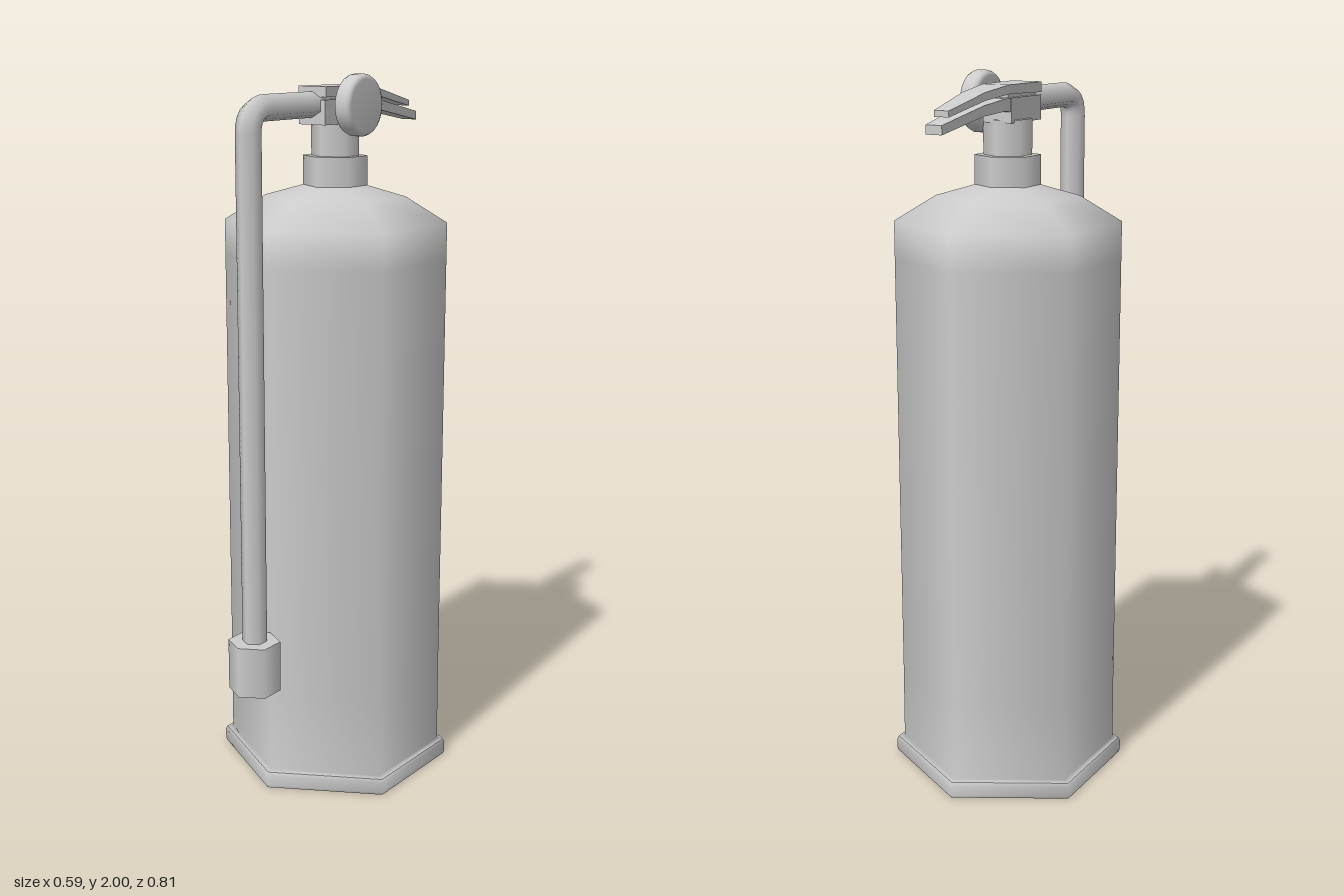
import * as THREE from 'three';

const AXIS_Z = -0.04; // centre line of the bottle
const material = new THREE.MeshStandardMaterial({ color: 0xcccccc, side: THREE.DoubleSide });

function part(name, geometry, parent) {
  const mesh = new THREE.Mesh(geometry, material);
  mesh.name = name;
  parent.add(mesh);
  return mesh;
}

// Six-sided turned shape with corners facing front and back
function turned(profile, z = AXIS_Z) {
  const points = profile.map(([r, y]) => new THREE.Vector2(r, y));
  return new THREE.LatheGeometry(points, 6).scale(1.04, 1, 1).translate(0, 0, z);
}

// Side outline in [z, y], extruded across x with half width tapering from w0 at z0 to w1 at z1
function lever(outline, z0, w0, z1, w1) {
  const shape = new THREE.Shape(outline.map(([z, y]) => new THREE.Vector2(-z, y)));
  const geometry = new THREE.ExtrudeGeometry(shape, { depth: 2, bevelEnabled: false });
  geometry.translate(0, 0, -1).rotateY(Math.PI / 2);
  const p = geometry.attributes.position;
  for (let i = 0; i < p.count; i++) {
    const t = THREE.MathUtils.clamp((p.getZ(i) - z0) / (z1 - z0), 0, 1);
    p.setX(i, Math.sign(p.getX(i)) * THREE.MathUtils.lerp(w0, w1, t));
  }
  geometry.computeVertexNormals();
  return geometry;
}

export function createModel() {
  const model = new THREE.Group();
  model.name = 'fireExtinguisher';

  // Bottle: foot ring, body and shoulder
  part('footUnderside', turned([[0, 0], [0.322, 0]]), model);
  part('footRing', turned([[0.322, 0], [0.325, 0.008], [0.325, 0.038], [0.32, 0.047]]), model);
  part('bottle', turned([
    [0.32, 0.047], [0.303, 0.05], [0.302, 0.28], [0.302, 1.5], [0.302, 1.6],
    [0.19, 1.67], [0.085, 1.7],
  ]), model);

  // Neck collar and valve stem
  part('neckCollar', turned([[0.087, 1.68], [0.087, 1.78]]), model);
  part('neckTop', turned([[0.087, 1.78], [0, 1.78]]), model);
  part('valveStem', turned([[0.064, 1.77], [0.064, 1.875]]), model);
  part('stemTop', turned([[0.064, 1.875], [0, 1.875]]), model);

  // Valve block between the levers
  part('valveBlock', new THREE.BoxGeometry(0.088, 0.066, 0.16).translate(0, 1.9, -0.015), model);
  part('valveBridge', new THREE.BoxGeometry(0.06, 0.03, 0.15).translate(0, 1.935, -0.015), model);

  // Squeeze lever above, carrying handle below
  part('squeezeLever', lever([
    [0.063, 1.94], [0.063, 1.968], [-0.1, 1.967], [-0.21, 1.953], [-0.368, 1.916],
    [-0.368, 1.9], [-0.21, 1.932], [-0.1, 1.943],
  ], -0.03, 0.046, -0.368, 0.022), model);
  part('carryHandle', lever([
    [-0.02, 1.885], [-0.02, 1.932], [-0.12, 1.932], [-0.22, 1.92], [-0.404, 1.883],
    [-0.404, 1.859], [-0.22, 1.893], [-0.12, 1.9],
  ], -0.06, 0.044, -0.404, 0.024), model);

  // Round pressure gauge on the left side
  const gaugeProfile = [[0, 0], [0.07, 0], [0.079, 0.006], [0.083, 0.015], [0.083, 0.042],
    [0.079, 0.05], [0.07, 0.055], [0, 0.055]].map(([r, y]) => new THREE.Vector2(r, y));
  const gauge = part('pressureGauge', new THREE.LatheGeometry(gaugeProfile, 24), model);
  gauge.rotation.z = -Math.PI / 2;
  gauge.position.set(0.055, 1.917, -0.035);
  const gaugeStem = part('gaugeStem', new THREE.CylinderGeometry(0.025, 0.025, 0.05, 12), model);
  gaugeStem.rotation.z = Math.PI / 2;
  gaugeStem.position.set(0.04, 1.91, -0.035);

  // Hose running forward, round one elbow and down to the nozzle
  const v = (y, z) => new THREE.Vector3(0, y, z);
  const path = new THREE.CurvePath();
  path.add(new THREE.LineCurve3(v(1.92, 0.02), v(1.92, 0.27)));
  path.add(new THREE.QuadraticBezierCurve3(v(1.92, 0.27), v(1.92, 0.332), v(1.858, 0.332)));
  path.add(new THREE.LineCurve3(v(1.858, 0.332), v(0.45, 0.332)));
  part('hose', new THREE.TubeGeometry(path, 100, 0.0345, 6), model);

  const nozzle = new THREE.Group();
  nozzle.name = 'nozzle';
  model.add(nozzle);
  part('nozzleBody', turned([[0.071, 0.328], [0.071, 0.473]], 0.334), nozzle);
  part('nozzleTop', turned([[0.071, 0.473], [0, 0.473]], 0.334), nozzle);
  part('nozzleBottom', turned([[0, 0.328], [0.071, 0.328]], 0.334), nozzle);

  return model;
}
